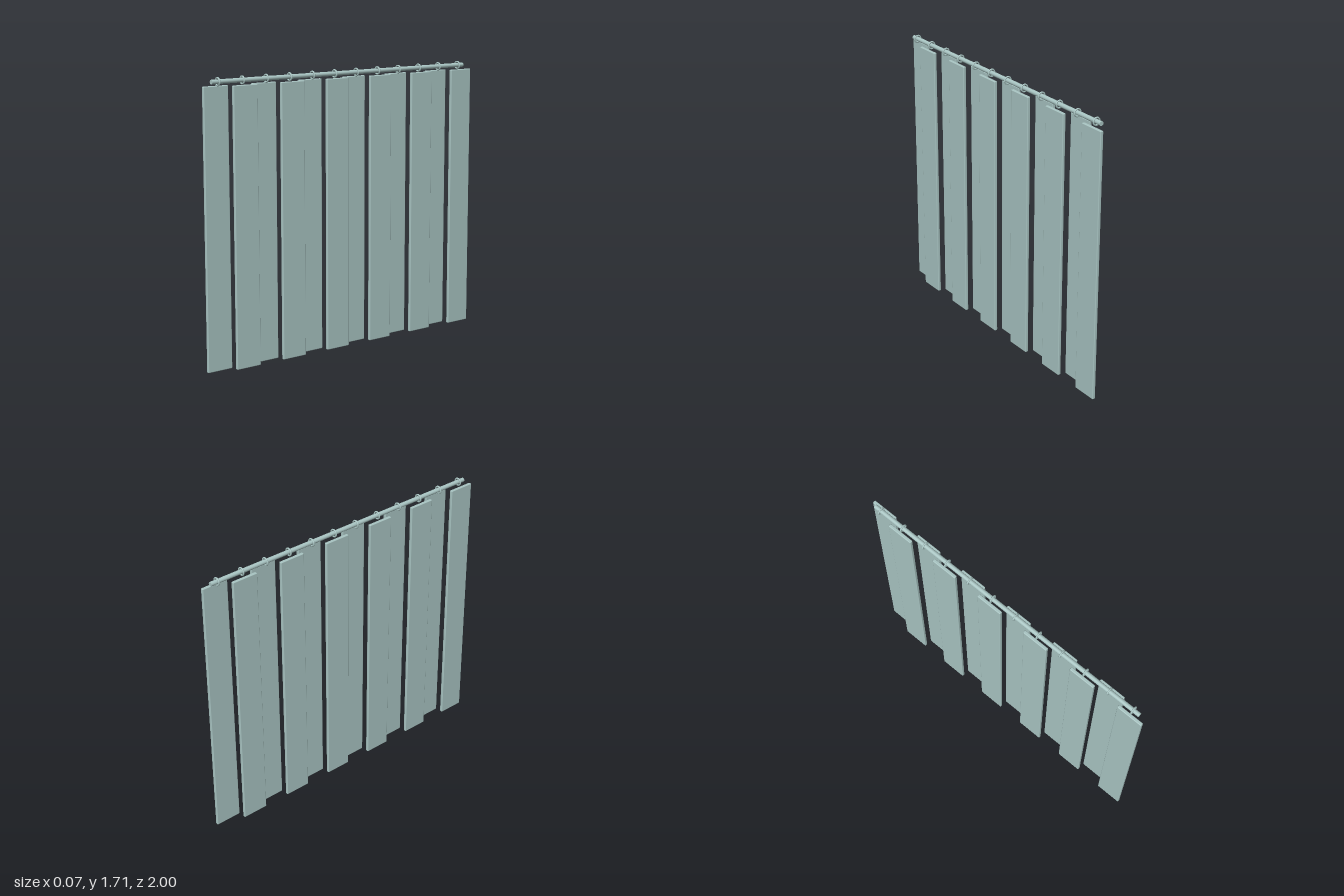
import * as THREE from 'three';
import { RoundedBoxGeometry } from 'three/addons/geometries/RoundedBoxGeometry.js';

const COUNT = 12;
const PITCH = 2 / COUNT;
const PANEL_HEIGHT = 1.655;
const ROD_Y = 1.68;

export function createModel() {
  const model = new THREE.Group();
  model.name = 'pleatedCurtain';

  const fabric = new THREE.MeshStandardMaterial({ color: 0xa8c4c2 });
  fabric.name = 'pale grey green';

  const add = (name, geometry, x, y, z) => {
    const mesh = new THREE.Mesh(geometry, fabric);
    mesh.name = name;
    mesh.position.set(x, y, z);
    model.add(mesh);
    return mesh;
  };

  // Rod running the length of the curtain
  const rod = new THREE.CylinderGeometry(0.0135, 0.0135, 1.92, 24).rotateX(Math.PI / 2);
  add('rod', rod, 0, ROD_Y, 0);

  // Staggered panels, with one ring above the middle of each
  const panel = new RoundedBoxGeometry(0.02, PANEL_HEIGHT, PITCH, 2, 0.005);
  const ring = new THREE.TorusGeometry(0.0215, 0.005, 10, 28);
  for (let i = 0; i < COUNT; i++) {
    const z = -1 + (i + 0.5) * PITCH;
    const side = i % 2 === 0 ? 1 : -1;
    add('panel' + (i + 1), panel, side * 0.026, PANEL_HEIGHT / 2, z);
    add('ring' + (i + 1), ring, 0, ROD_Y, z);
  }

  return model;
}
